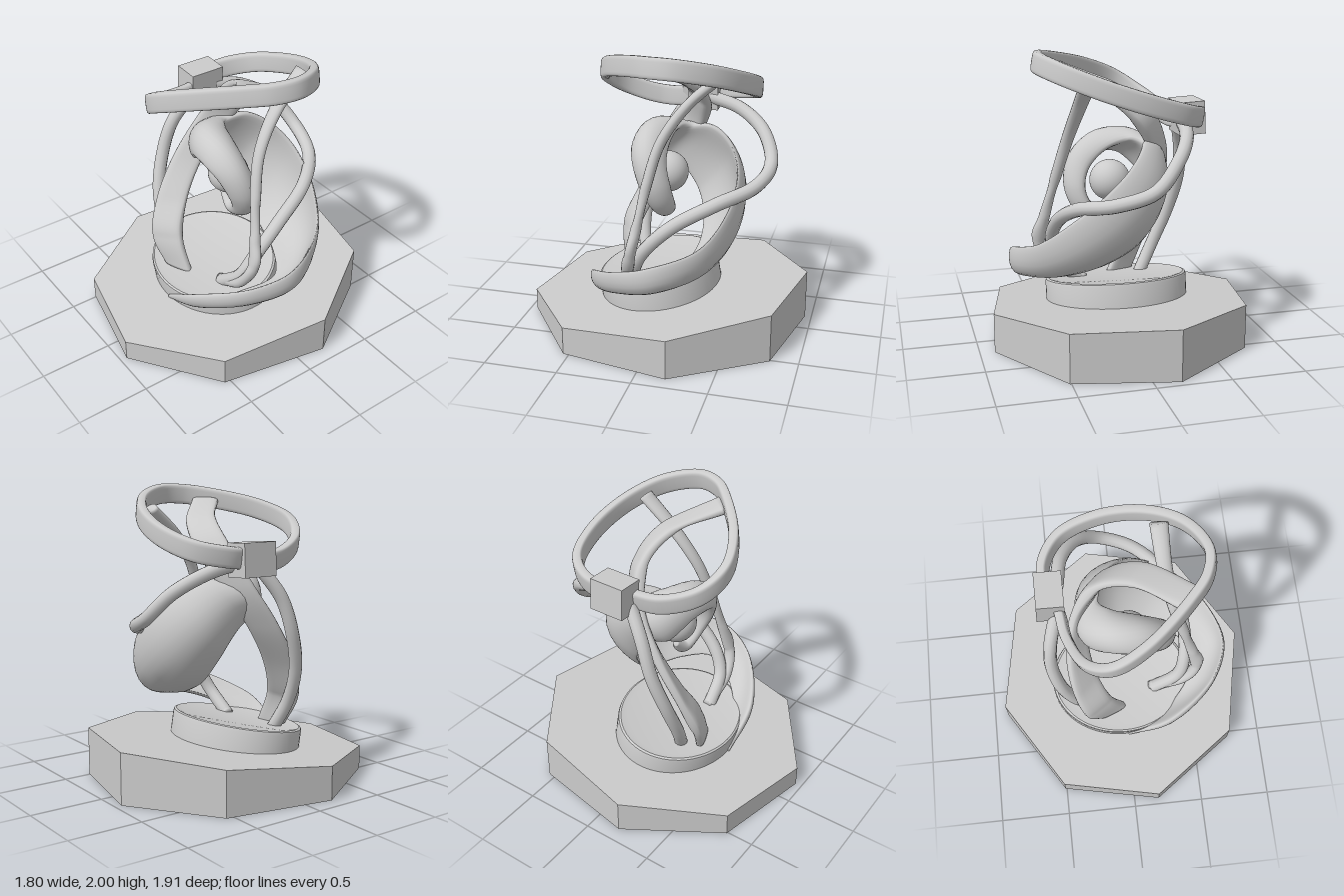
import * as THREE from 'three';
import { toCreasedNormals } from 'three/addons/utils/BufferGeometryUtils.js';

const material = new THREE.MeshStandardMaterial({ color: 0xcccccc, side: THREE.DoubleSide });
const V = (x, y, z) => new THREE.Vector3(x, y, z);

function part(name, geometry, group) {
  const mesh = new THREE.Mesh(geometry, material);
  mesh.name = name;
  group.add(mesh);
  return mesh;
}

// Sweeps a flattened, optionally cupped section through stations of
// [x, y, z,  half-width vector x, y, z,  half-thickness, cupping].
function sweep(stations, { closed = false, steps = 120, sides = 20, power = 1 } = {}) {
  const pick = (f) => new THREE.CatmullRomCurve3(stations.map(f), closed);
  const centre = pick((s) => V(s[0], s[1], s[2]));
  const width = pick((s) => V(s[3], s[4], s[5]));
  const shape = pick((s) => V(s[6], s[7] || 0, 0));
  const bend = (v) => Math.sign(v) * Math.abs(v) ** power;
  const positions = [], index = [];
  for (let i = 0; i <= steps; i++) {
    const u = i / steps;
    const c = centre.getPoint(u), w = width.getPoint(u), s = shape.getPoint(u);
    const n = centre.getTangent(u).cross(w).normalize();
    for (let j = 0; j < sides; j++) {
      const a = (j / sides) * Math.PI * 2, sn = Math.sin(a);
      const p = c.clone().addScaledVector(w, bend(Math.cos(a)))
        .addScaledVector(n, s.x * bend(sn) + s.y * (sn * sn - 0.5));
      positions.push(p.x, p.y, p.z);
      if (i < steps) {
        const k = (j + 1) % sides, r = i * sides;
        index.push(r + j, r + k, r + sides + j, r + k, r + sides + k, r + sides + j);
      }
    }
  }
  // End caps
  if (!closed) {
    const last = steps * sides;
    for (let j = 1; j < sides - 1; j++) {
      index.push(0, j + 1, j, last, last + j, last + j + 1);
    }
  }
  const g = new THREE.BufferGeometry();
  g.setAttribute('position', new THREE.Float32BufferAttribute(positions, 3));
  g.setIndex(index);
  g.computeVertexNormals();
  return g;
}

// Prism with a hole whose lower and upper faces follow height rules of z
function prism(outline, hole, low, high) {
  const toPoints = (list) => list.map(([x, z]) => new THREE.Vector2(x, -z));
  const shape = new THREE.Shape(toPoints(outline));
  shape.holes.push(new THREE.Path(toPoints(hole)));
  const g = new THREE.ExtrudeGeometry(shape, { depth: 1, bevelEnabled: false }).rotateX(-Math.PI / 2);
  const p = g.attributes.position;
  for (let i = 0; i < p.count; i++) {
    p.setY(i, THREE.MathUtils.lerp(low(p.getZ(i)), high(p.getZ(i)), p.getY(i)));
  }
  g.computeVertexNormals();
  return g;
}

function tube(points, radius) {
  const curve = new THREE.CatmullRomCurve3(points.map((p) => V(...p)));
  return new THREE.TubeGeometry(curve, 70, radius, 12);
}

export function createModel() {
  const group = new THREE.Group();

  // Hollow octagonal base: sloping top with an oval opening under the dish
  const octagon = [[-0.18, -0.955], [-0.76, -0.55], [-0.9, 0.19], [-0.51, 0.81],
    [0.18, 0.955], [0.76, 0.54], [0.9, -0.2], [0.51, -0.81]];
  const inner = octagon.map(([x, z]) => [x * 0.95, z * 0.95]);
  const oval = Array.from({ length: 48 }, (_, i) => {
    const a = (i / 48) * Math.PI * 2;
    return [-0.015 + 0.49 * Math.cos(a), 0.065 + 0.408 * Math.sin(a)];
  });
  const slope = (z) => 0.25 - 0.105 * z;
  part('baseWall', prism(octagon, inner, () => 0, slope), group);
  part('baseTop', prism(octagon, oval, (z) => slope(z) - 0.04, slope), group);

  // Tilted oval dish, hollow beneath
  const profile = [[0, 0.32], [0.95, 0.32], [0.95, 0.19], [1, 0.19], [1, 0.365], [0.99, 0.383],
    [0.96, 0.39], [0.86, 0.38], [0, 0.375]];
  const dish = new THREE.LatheGeometry(profile.map((p) => new THREE.Vector2(...p)), 64);
  dish.scale(0.505, 1, 0.42);
  dish.translate(-0.015, -0.25, 0).rotateX(0.165).translate(0, 0.25, 0.065);
  part('dish', toCreasedNormals(dish, 0.6), group);

  // Small octagonal boss beneath the dish
  const boss = part('underBoss', toCreasedNormals(new THREE.CylinderGeometry(0.17, 0.17, 0.03, 8), 0.4), group);
  boss.position.set(0, 0.315, 0.05);
  boss.rotation.x = 0.165;

  // Tilted band at the top
  const ringPath = [[-0.46, 1.55, -0.15], [-0.475, 1.57, -0.32], [-0.36, 1.61, -0.5], [-0.1, 1.69, -0.575],
    [0.2, 1.79, -0.53], [0.44, 1.88, -0.38], [0.56, 1.93, -0.16], [0.53, 1.928, 0], [0.42, 1.905, 0.14],
    [0.13, 1.825, 0.385], [-0.1, 1.73, 0.47], [-0.26, 1.62, 0.39], [-0.365, 1.53, 0.17], [-0.4, 1.52, -0.03]];
  part('topBand', sweep(ringPath.map((p) => [...p, -0.012, 0.068, 0, 0.033]),
    { closed: true, steps: 140, power: 0.45 }), group);

  // Block joining band and struts
  const block = part('joint', new THREE.BoxGeometry(0.18, 0.22, 0.25), group);
  block.position.set(-0.455, 1.545, -0.125);
  block.rotation.z = -0.05;

  // Slender struts
  part('sideStrut', tube([[-0.42, 1.48, -0.03], [-0.48, 1.28, 0.1], [-0.495, 1.05, 0.18],
    [-0.44, 0.78, 0.26], [-0.34, 0.54, 0.28], [-0.23, 0.33, 0.24]], 0.045), group);
  part('loopStrut', tube([[-0.4, 1.52, -0.2], [-0.36, 1.46, -0.42], [-0.25, 1.34, -0.6], [-0.08, 1.17, -0.685],
    [0.16, 1.08, -0.62], [0.37, 1.01, -0.4], [0.45, 0.86, -0.13], [0.45, 0.66, 0.07],
    [0.4, 0.5, 0.15], [0.22, 0.34, 0.18]], 0.046), group);
  part('uprightStrut', sweep([
    [0.28, 1.85, -0.42, 0.06, 0, 0, 0.035], [0.3, 1.65, -0.2, 0.05, 0, 0, 0.035],
    [0.35, 1.4, -0.03, 0.043, 0, 0, 0.035], [0.42, 1.12, 0.05, 0.04, 0, 0, 0.035],
    [0.49, 0.85, 0.1, 0.04, 0, 0, 0.035], [0.53, 0.65, 0.14, 0.04, 0, 0, 0.037],
    [0.44, 0.48, 0.18, 0.03, -0.02, 0, 0.037], [0.2, 0.34, 0.17, 0.02, -0.035, 0, 0.037],
  ], { steps: 80, sides: 14 }), group);

  // Broad strap from the dish up to the band
  part('strap', sweep([
    [-0.1, 0.33, 0.33, 0.1, 0, -0.04, 0.03], [-0.2, 0.55, 0.35, 0.095, 0.02, -0.06, 0.035],
    [-0.28, 0.8, 0.25, 0.08, 0.01, -0.075, 0.035], [-0.31, 1.08, 0.08, 0.07, 0, -0.08, 0.035],
    [-0.25, 1.36, -0.1, 0.07, -0.02, -0.08, 0.035], [-0.1, 1.6, -0.18, 0.07, -0.03, -0.08, 0.035],
    [0.12, 1.76, -0.12, 0.06, -0.02, -0.08, 0.03], [0.41, 1.88, 0.12, 0.06, 0, -0.07, 0.03],
  ], { steps: 90, power: 0.6 }), group);

  // Cupped leaf winding up from the base and curling over the ball
  part('spiralLeaf', sweep([
    [0.0, 0.2, 0.48, 0.01, 0.02, 0.01, 0.015, 0],
    [0.3, 0.34, 0.43, 0.03, 0.08, 0.05, 0.035, 0.02],
    [0.58, 0.48, 0.21, 0.09, 0.08, 0.03, 0.04, 0.06],
    [0.67, 0.56, -0.04, 0.1, 0.09, 0, 0.04, 0.08],
    [0.5, 0.625, -0.28, 0.12, 0.12, -0.09, 0.04, 0.1],
    [0.27, 0.74, -0.4, 0.12, 0.19, -0.13, 0.04, 0.12],
    [0.02, 0.91, -0.415, 0.11, 0.23, -0.14, 0.045, 0.12],
    [-0.14, 1.09, -0.33, 0.09, 0.21, -0.13, 0.05, 0.11],
    [-0.2, 1.24, -0.16, 0.05, 0.16, -0.13, 0.06, 0.08],
    [-0.2, 1.27, 0, 0.02, 0.13, -0.12, 0.07, 0.06],
    [-0.07, 1.35, 0.09, 0, 0.07, -0.13, 0.07, 0.05],
    [0.1, 1.33, 0.11, 0, 0.03, -0.13, 0.075, 0.05],
    [0.23, 1.23, 0.09, 0, 0, -0.12, 0.075, 0.04],
    [0.28, 1.07, 0.04, 0, 0, -0.11, 0.07, 0.03],
    [0.23, 0.93, 0, 0, 0, -0.09, 0.06, 0.02],
    [0.12, 0.87, 0, 0, 0, -0.07, 0.05, 0.01],
    [0.01, 0.95, 0.02, 0, 0, -0.02, 0.02, 0],
  ], { steps: 170, sides: 24 }), group);

  // Ball held in the curl
  part('ball', new THREE.SphereGeometry(0.14, 40, 24), group).position.set(0.05, 1.1, 0);

  return group;
}
